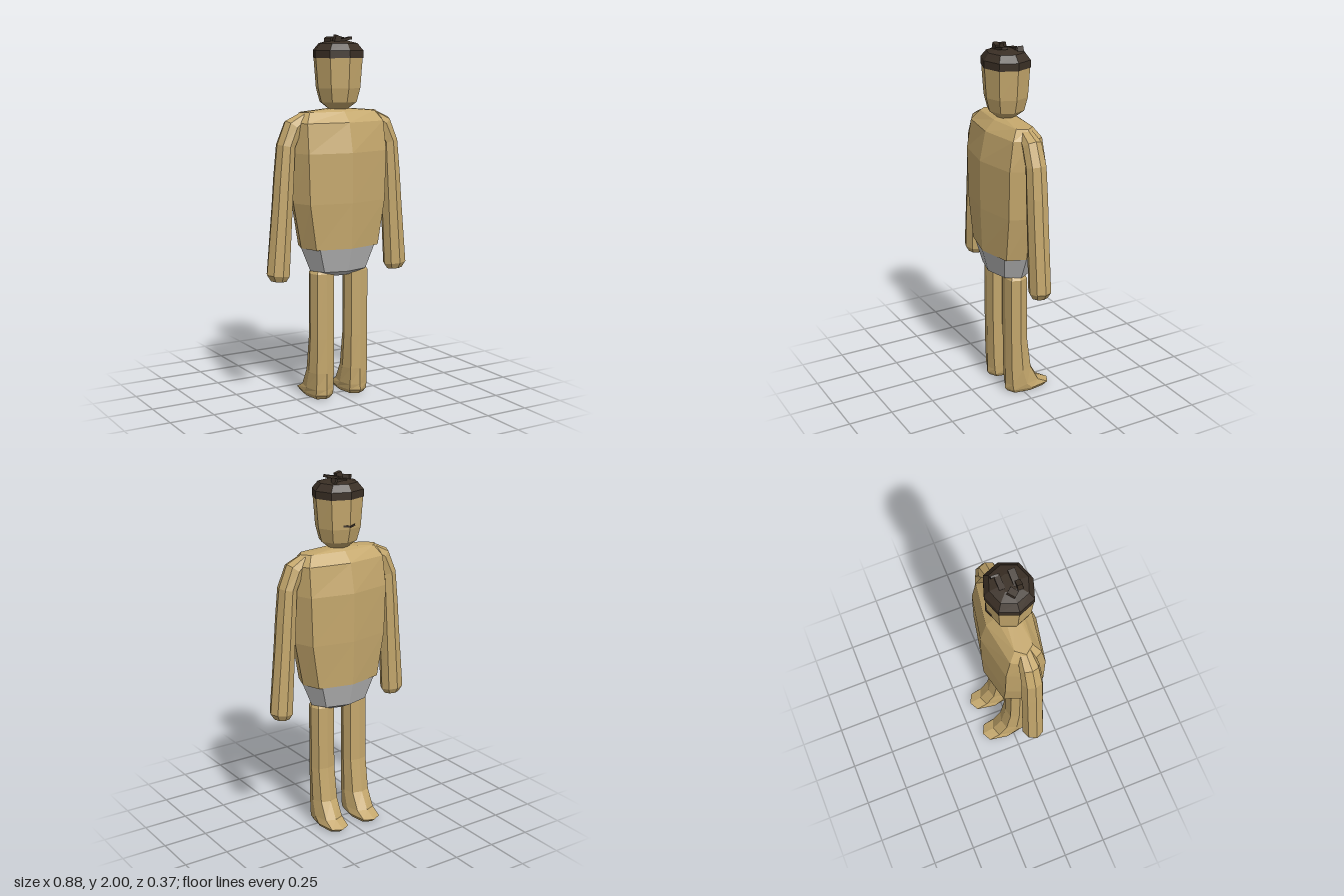
import * as THREE from 'three';

const skin = new THREE.MeshStandardMaterial({ color: 0xc4a76c, flatShading: true, name: 'skin' });
const grey = new THREE.MeshStandardMaterial({ color: 0xbababa, flatShading: true, name: 'shortsGrey' });
const dark = new THREE.MeshStandardMaterial({ color: 0x3a2f25, flatShading: true, name: 'hairBrown' });

// Eight-sided loft through rings listed bottom to top: [x, y, z, halfX, halfZ, tilt].
// dx and dz place the diagonal corners as a share of the half sizes.
function loft(name, material, rings, { dx = 0.71, dz = 0.71 } = {}) {
  const cs = [1, dx, 0, -dx, -1, -dx, 0, dx];
  const sn = [0, dz, 1, dz, 0, -dz, -1, -dz];
  const pts = rings.map(([x, y, z, rx, rz, t = 0]) => cs.map((c, i) =>
    [x + rx * c * Math.cos(t), y + rx * c * Math.sin(t), z + rz * sn[i]]));
  const out = [];
  const tri = (...corners) => corners.forEach((p) => out.push(...p));
  for (let i = 0; i < 8; i++) {
    const j = (i + 1) % 8;
    for (let k = 0; k < pts.length - 1; k++) {
      const a = pts[k], b = pts[k + 1];
      tri(a[i], b[i], a[j]);
      tri(a[j], b[i], b[j]);
    }
    const first = pts[0], last = pts[pts.length - 1];
    tri(rings[0].slice(0, 3), first[i], first[j]);
    tri(rings[rings.length - 1].slice(0, 3), last[j], last[i]);
  }
  const geo = new THREE.BufferGeometry();
  geo.setAttribute('position', new THREE.Float32BufferAttribute(out, 3));
  geo.computeVertexNormals();
  const mesh = new THREE.Mesh(geo, material);
  mesh.name = name;
  return mesh;
}

function box(name, material, size, pos, rot = [0, 0, 0]) {
  const mesh = new THREE.Mesh(new THREE.BoxGeometry(...size), material);
  mesh.position.set(...pos);
  mesh.rotation.set(...rot);
  mesh.name = name;
  return mesh;
}

export function createModel() {
  const model = new THREE.Group();
  model.name = 'figure';
  const Z = 0.026;
  const trunk = { dx: 0.84, dz: 0.7 };

  // Torso and shorts share the ring at the waist
  model.add(loft('torso', skin, [
    [0, 0.86, Z, 0.23, 0.148],
    [0, 1.11, Z, 0.277, 0.157],
    [0, 1.38, Z, 0.287, 0.157],
    [0, 1.54, Z, 0.28, 0.123],
    [0, 1.595, Z, 0.24, 0.07],
    [0, 1.61, Z, 0.06, 0.045],
  ], trunk));
  model.add(loft('shorts', grey, [
    [0, 0.697, Z, 0.09, 0.05],
    [0, 0.73, Z, 0.175, 0.112],
    [0, 0.86, Z, 0.23, 0.148],
  ], { dx: 0.74, dz: 0.7 }));

  // Arms and legs, mirrored
  for (const s of [1, -1]) {
    const side = s > 0 ? 'left' : 'right';
    model.add(loft(side + 'Arm', skin, [
      [0.37, 0.695, Z, 0.045, 0.042, 0.07],
      [0.372, 0.727, Z, 0.067, 0.06, 0.1],
      [0.345, 1.1, Z, 0.058, 0.06, 0.06],
      [0.335, 1.25, Z, 0.056, 0.06, 0.05],
      [0.322, 1.42, Z, 0.051, 0.058, 0.2],
      [0.278, 1.52, Z, 0.055, 0.054, 0.65],
      [0.215, 1.565, Z, 0.034, 0.04, 1.2],
    ].map(([x, y, z, rx, rz, t]) => [s * x, y, z, rx, rz, s * t])));

    // Legs flare into feet that point to -z
    model.add(loft(side + 'Leg', skin, [
      [s * 0.108, 0.004, -0.04, 0.058, 0.115],
      [s * 0.108, 0.027, -0.046, 0.073, 0.138],
      [s * 0.108, 0.06, -0.012, 0.073, 0.102],
      [s * 0.108, 0.155, 0.015, 0.072, 0.075],
      [s * 0.108, 0.35, 0.029, 0.07, 0.061],
      [s * 0.108, 0.715, 0.03, 0.07, 0.06],
      [s * 0.108, 0.745, 0.03, 0.05, 0.043],
    ], { dx: 0.74, dz: 0.8 }));
  }

  // Head and hair cap
  model.add(loft('head', skin, [
    [0, 1.608, Z, 0.055, 0.05],
    [0, 1.645, Z, 0.103, 0.096],
    [0, 1.72, Z, 0.123, 0.115],
    [0, 1.885, Z, 0.137, 0.125],
    [0, 1.92, Z, 0.13, 0.118],
  ], { dx: 0.73, dz: 0.73 }));
  model.add(loft('hairCap', dark, [
    [0, 1.88, Z, 0.14, 0.128],
    [0, 1.92, Z, 0.14, 0.127],
    [0, 1.957, Z, 0.107, 0.1],
    [0, 1.972, Z, 0.05, 0.045],
  ], { dx: 0.73, dz: 0.73 }));

  // Loose tufts on the crown
  const tufts = new THREE.Group();
  tufts.name = 'hairTufts';
  tufts.add(
    box('tuftLeft', dark, [0.012, 0.035, 0.036], [0.058, 1.97, -0.028], [0, 0, 0.35]),
    box('tuftRight', dark, [0.045, 0.035, 0.036], [-0.055, 1.972, 0.022], [0, 0.7, 0.2]),
    box('tuftFront', dark, [0.085, 0.014, 0.036], [0.015, 1.977, 0.06], [0, 0, 0.2]),
    box('tuftSpike', dark, [0.035, 0.035, 0.028], [-0.03, 1.98, 0.066], [0, 0, -0.3]),
    box('tuftRear', dark, [0.08, 0.014, 0.03], [0.02, 1.972, -0.015], [0, 0, 0.12]),
  );
  model.add(tufts);

  // Mouth mark wraps the middle edge of the face
  for (const s of [1, -1]) {
    model.add(box('mouth', dark, [0.038, 0.009, 0.008], [s * 0.018, 1.738, -0.086], [0.07, -s * 0.36, s * 0.15]));
  }
  return model;
}
